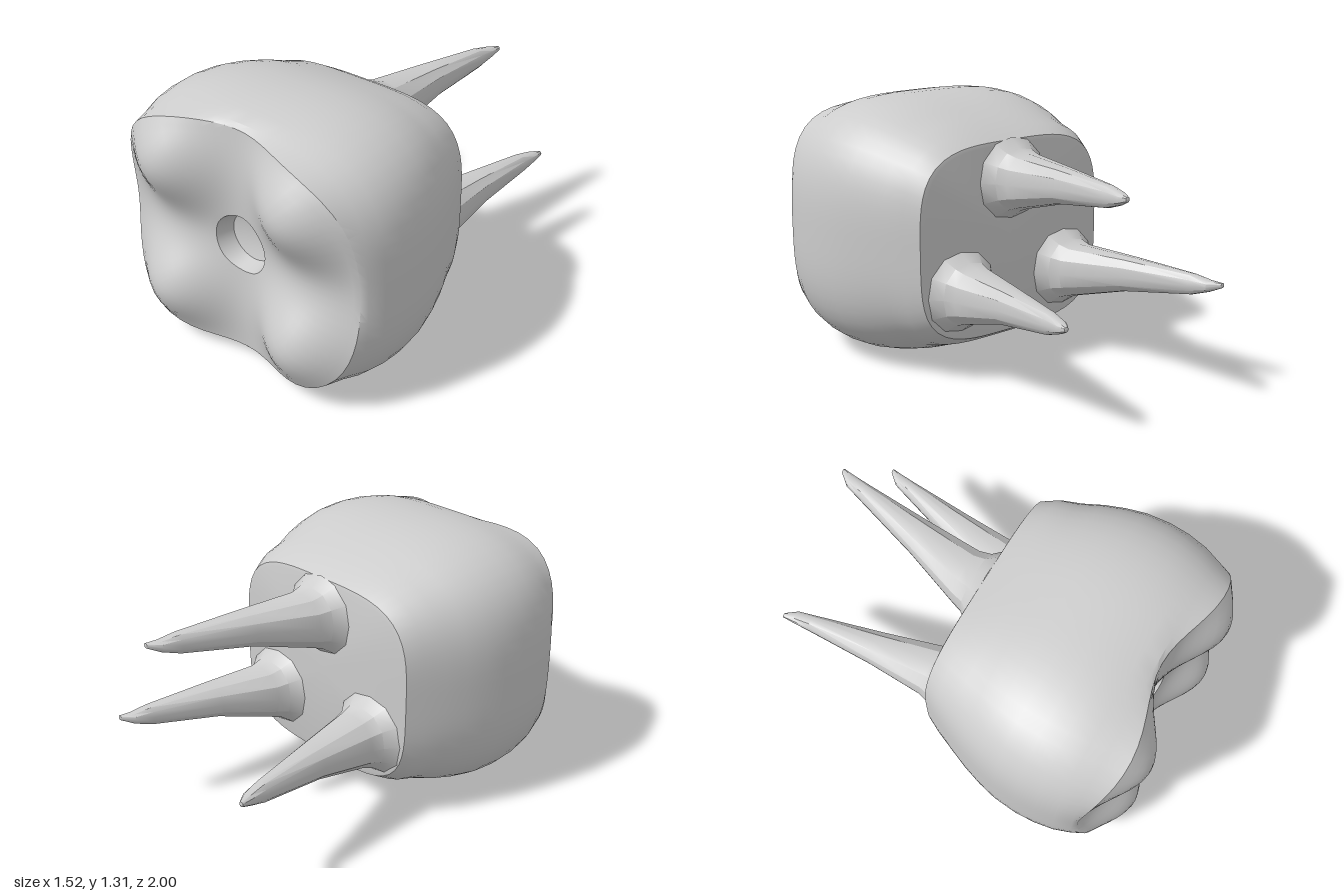
import * as THREE from 'three';
import { toCreasedNormals } from 'three/addons/utils/BufferGeometryUtils.js';

const MID = 0.655; // height of the crown's axis

// Skin a list of rings (arrays of [x, y, z], counter-clockwise seen from +z)
function loft(rings, crease) {
  const n = rings[0].length;
  const index = [];
  for (let i = 0; i < rings.length - 1; i++) {
    for (let j = 0; j < n; j++) {
      const k = (j + 1) % n;
      const a = i * n + j, b = i * n + k, c = b + n, d = a + n;
      index.push(a, b, c, a, c, d);
    }
  }
  const geo = new THREE.BufferGeometry();
  geo.setAttribute('position', new THREE.Float32BufferAttribute(rings.flat(2), 3));
  geo.setIndex(index);
  return toCreasedNormals(geo, crease);
}

// Rounded-square ring; z may be a number or a function of x and y
function ring(cx, cy, hw, hh, power, z, sides) {
  return Array.from({ length: sides }, (_, j) => {
    const t = (j / sides) * Math.PI * 2;
    const c = Math.cos(t), s = Math.sin(t);
    const r = Math.pow(Math.abs(c) ** power + Math.abs(s) ** power, -1 / power);
    const x = c * r * hw, y = s * r * hh;
    return [cx + x, cy + y, typeof z === 'function' ? z(x, y) : z];
  });
}

// Chewing surface: four cusps parted by a cross of grooves
function cusps(x, y) {
  const p = 0.1 + 0.45 * (1 - Math.cos((Math.PI * x) / 0.38));
  const q = 0.3 + 0.35 * (1 - Math.cos((Math.PI * y) / 0.34));
  return 0.81 + 0.19 * p * q;
}

function crownGeometry() {
  const sides = 72;
  const rings = [];
  const add = (hw, hh, power, z) => rings.push(ring(0, MID, hw, hh, power, z, sides));
  // flat back, then the bulging side: z, half width, half height
  add(0, 0, 4, -0.085);
  add(0.54, 0.46, 4, -0.085);
  const side = [
    [-0.08, 0.57, 0.48], [0, 0.61, 0.525], [0.1, 0.655, 0.565], [0.2, 0.695, 0.603],
    [0.3, 0.727, 0.63], [0.4, 0.75, 0.648], [0.52, 0.76, 0.655], [0.62, 0.755, 0.65],
    [0.72, 0.738, 0.635], [0.8, 0.71, 0.612],
  ];
  for (const [z, hw, hh] of side) add(hw, hh, z < 0.1 ? 3.7 : 3.2, z);
  // cusped front, morphing to a round ring about the pit
  const steps = 16;
  for (let i = 0; i <= steps; i++) {
    const t = i / steps;
    add(0.685 + (0.15 - 0.685) * t, 0.59 + (0.145 - 0.59) * t, 3.2 - 1.2 * t, cusps);
  }
  // central pit
  add(0.125, 0.12, 2, 0.745);
  add(0.07, 0.07, 2, 0.73);
  add(0, 0, 2, 0.73);
  return loft(rings, 0.6);
}

// Root sections from tip to base: z, centre x, half width, centre y, half height
const ROOT = [
  [-1.0, -0.495, 0, 0.51, 0],
  [-0.995, -0.492, 0.012, 0.51, 0.012],
  [-0.94, -0.468, 0.033, 0.5, 0.028],
  [-0.85, -0.452, 0.042, 0.493, 0.052],
  [-0.5, -0.393, 0.088, 0.475, 0.088],
  [-0.2, -0.342, 0.138, 0.438, 0.135],
  [-0.14, -0.34, 0.155, 0.435, 0.155],
  [-0.08, -0.34, 0.205, 0.435, 0.2],
];

function rootGeometry(mirror, dx, dy, length) {
  const rings = ROOT.map(([z, x, hw, y, hh]) =>
    ring(mirror * x + dx, y + dy, hw, hh, 2.3, z < -0.2 ? z * length : z, 12));
  return loft(rings, 0.55);
}

export function createModel() {
  const model = new THREE.Group();
  model.name = 'molarTooth';
  const enamel = new THREE.MeshStandardMaterial({ color: 0xcccccc });
  enamel.name = 'enamelGrey';

  const part = (name, geometry) => {
    const mesh = new THREE.Mesh(geometry, enamel);
    mesh.name = name;
    model.add(mesh);
  };

  part('crown', crownGeometry());
  // two lower roots and one upper root
  part('lowerRightRoot', rootGeometry(1, 0, 0, 1));
  part('upperRoot', rootGeometry(-1, -0.33, 0.51, 0.99));
  part('lowerLeftRoot', rootGeometry(-1, -0.01, 0, 0.96));
  return model;
}
